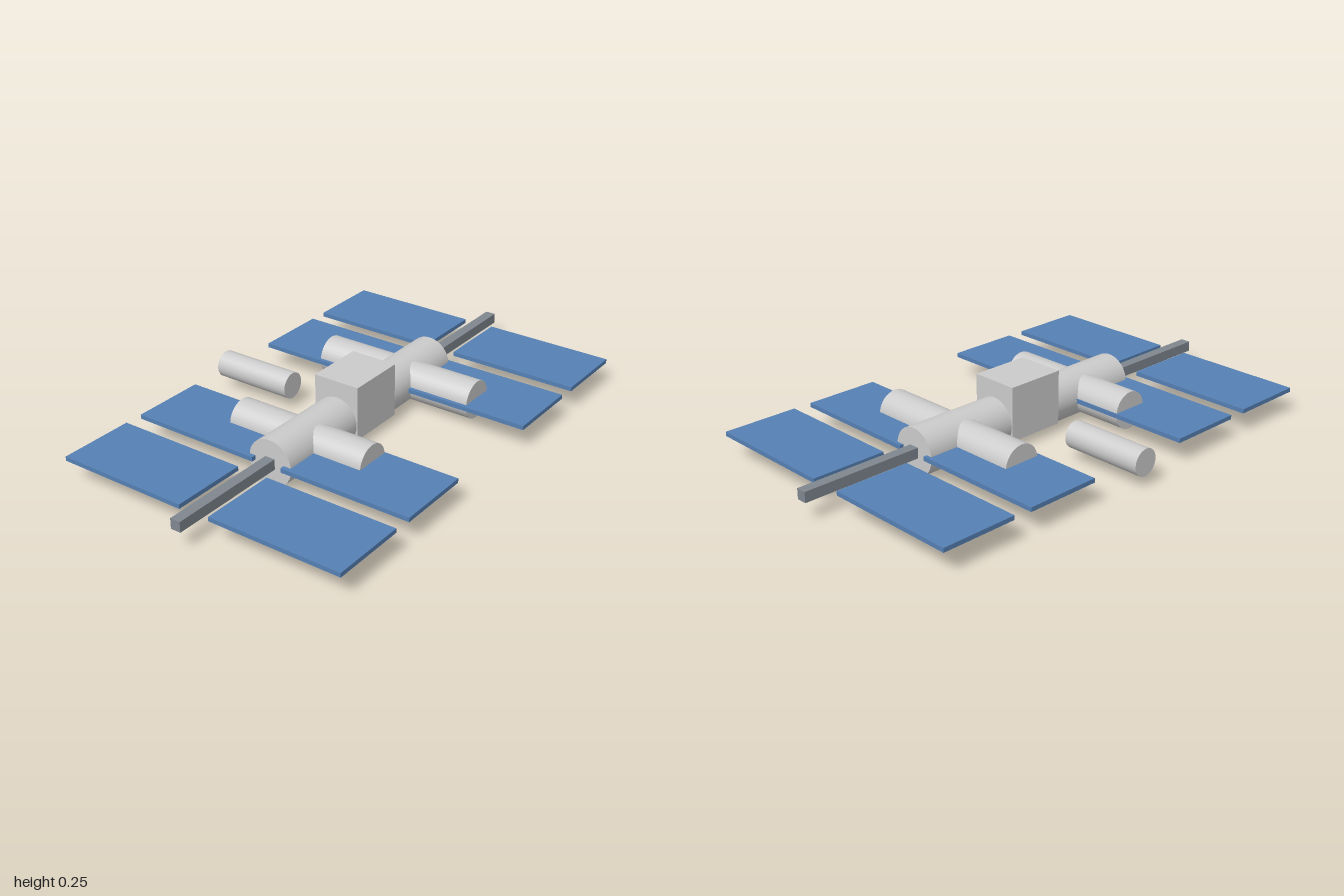
import * as THREE from 'three';

const CY = 0.093; // height of the station axis
const CZ = 0.017; // depth of the station axis

export function createModel() {
  const model = new THREE.Group();
  model.name = 'spaceStation';

  const hull = new THREE.MeshStandardMaterial({ color: 0xcccccc });
  const trussGrey = new THREE.MeshStandardMaterial({ color: 0x7f878f });
  const panelBlue = new THREE.MeshStandardMaterial({ color: 0x5580b3 });

  const add = (name, geometry, material, x, y, z) => {
    const mesh = new THREE.Mesh(geometry, material);
    mesh.name = name;
    mesh.position.set(x, y, z);
    model.add(mesh);
    return mesh;
  };

  // Capped cylinder lying along x or z
  const tube = (name, axis, radius, length, x, y, z) => {
    const geometry = new THREE.CylinderGeometry(radius, radius, length, 32);
    if (axis === 'x') geometry.rotateZ(Math.PI / 2);
    else geometry.rotateX(Math.PI / 2);
    return add(name, geometry, hull, x, y, z);
  };

  // Central body and hub
  tube('mainModule', 'x', 0.0925, 1.024, 0, 0.0925, CZ);
  add('hubBlock', new THREE.BoxGeometry(0.242, 0.216, 0.193), hull, 0, 0.143, CZ);

  // Modules crossing the body
  tube('rightCrossModule', 'z', 0.075, 0.586, -0.307, 0.094, CZ);
  tube('leftCrossModule', 'z', 0.0765, 0.684, 0.315, 0.094, CZ);

  // Separate capsule behind the hub
  tube('rearCapsule', 'z', 0.053, 0.336, -0.003, 0.094, -0.448);

  // Long truss
  add('truss', new THREE.BoxGeometry(2, 0.041, 0.041), trussGrey, 0, 0.094, CZ);

  // Solar panels, in pairs on both sides of the truss
  for (const x of [-0.757, -0.379, 0.375, 0.753]) {
    for (const side of [-1, 1]) {
      add('solarPanel', new THREE.BoxGeometry(0.303, 0.017, 0.535), panelBlue,
        x, CY, CZ - 0.003 + side * 0.331);
    }
  }

  return model;
}
